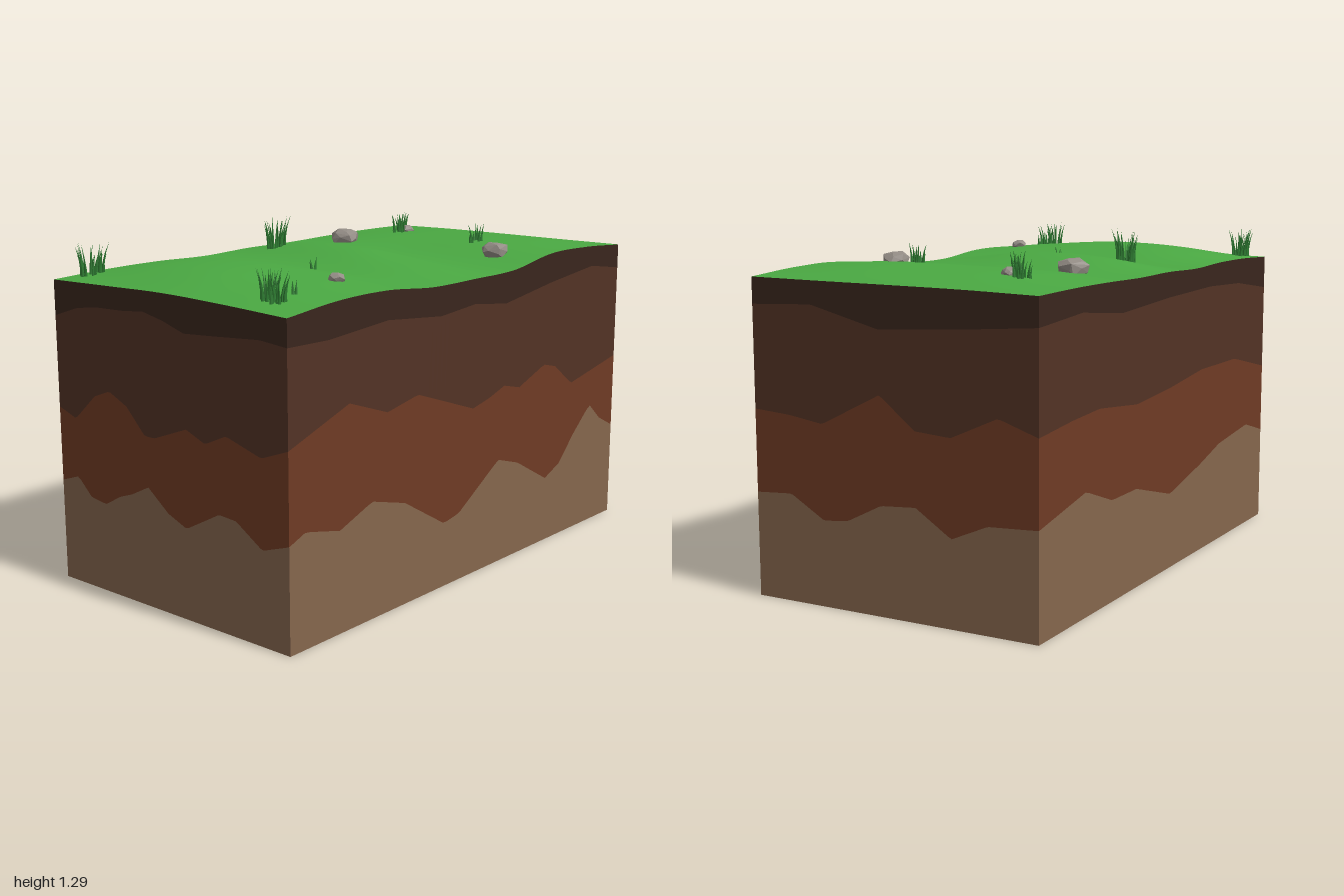
import * as THREE from 'three';
import { ConvexGeometry } from 'three/addons/geometries/ConvexGeometry.js';
import { mergeGeometries } from 'three/addons/utils/BufferGeometryUtils.js';

const W = 0.57, D = 1;
const mat = (color, extra = {}) => new THREE.MeshStandardMaterial({ color, ...extra });

// small seeded random
let seed = 7;
const rnd = () => (seed = (seed * 16807) % 2147483647) / 2147483647;
const spread = (a) => (rnd() * 2 - 1) * a;

// ground heights: rows run back to front, columns -x to +x
const HEIGHTS = [
  [1.130, 1.137, 1.140, 1.142, 1.145],
  [1.135, 1.158, 1.170, 1.176, 1.162],
  [1.135, 1.162, 1.172, 1.175, 1.164],
  [1.132, 1.148, 1.142, 1.135, 1.130],
  [1.135, 1.180, 1.190, 1.162, 1.128],
  [1.130, 1.138, 1.142, 1.145, 1.130],
  [1.138, 1.178, 1.188, 1.176, 1.152],
  [1.138, 1.178, 1.190, 1.174, 1.152],
  [1.130, 1.138, 1.145, 1.140, 1.130],
];

// Catmull-Rom through evenly spaced values, t from 0 to 1
function spline(v, t) {
  const n = v.length - 1, f = Math.min(Math.max(t, 0), 1) * n;
  const i = Math.min(Math.floor(f), n - 1), u = f - i;
  const p1 = v[i], p2 = v[i + 1];
  const p0 = i > 0 ? v[i - 1] : 2 * p1 - p2, p3 = i + 2 <= n ? v[i + 2] : 2 * p2 - p1;
  return p1 + 0.5 * u * (p2 - p0 + u * (2 * p0 - 5 * p1 + 4 * p2 - p3 + u * (3 * (p1 - p2) + p3 - p0)));
}
const ground = (x, z) => spline(HEIGHTS.map((r) => spline(r, (x + W) / (2 * W))), (z + D) / (2 * D));

// layer boundaries as [position along wall, height], position is x or z
const WALLS = {
  front: [
    [[-.57, 1], [-.45, 1.04], [-.35, 1.055], [-.2, 1.06], [-.1, 1.07], [0, 1.05], [.1, 1.02], [.25, 1.03], [.45, 1.045], [.57, 1.035]],
    [[-.57, .66], [-.48, .63], [-.37, .73], [-.29, .76], [-.2, .72], [-.11, .63], [-.06, .63], [.1, .69], [.19, .655], [.29, .7], [.45, .655], [.57, .7]],
    [[-.57, .38], [-.48, .41], [-.41, .345], [-.33, .335], [-.25, .38], [-.19, .4], [-.1, .445], [0, .37], [.09, .335], [.25, .42], [.33, .415], [.45, .34], [.57, .38]],
  ],
  right: [
    [[-1, 1.05], [-.8, 1.08], [-.5, 1.05], [-.2, 1.01], [0, 1.035], [.2, 1.02], [.5, 1.05], [.8, 1.03], [1, 1.035]],
    [[-1, .68], [-.67, .62], [-.55, .71], [-.47, .73], [-.3, .67], [-.2, .695], [-.1, .665], [0, .645], [.33, .76], [.5, .73], [.7, .8], [1, .7]],
    [[-1, .38], [-.9, .43], [-.82, .5], [-.7, .4], [-.6, .3], [-.5, .26], [-.3, .37], [-.17, .41], [.08, .26], [.17, .245], [.4, .38], [.58, .43], [.75, .37], [.92, .41], [1, .38]],
  ],
  back: [
    [[-.57, 1.03], [-.3, 1.01], [.04, .99], [.2, 1.03], [.32, 1.06], [.57, 1.05]],
    [[-.57, .68], [-.42, .73], [-.24, .65], [-.1, .66], [.04, .77], [.18, .7], [.28, .65], [.42, .67], [.57, .68]],
    [[-.57, .38], [-.38, .37], [-.24, .31], [-.1, .4], [.04, .39], [.18, .32], [.28, .31], [.42, .39], [.57, .38]],
  ],
  left: [
    [[-1, 1.03], [-.7, 1.05], [-.4, 1.02], [0, 1.04], [.4, 1.05], [.7, 1.04], [1, 1]],
    [[-1, .68], [-.77, .7], [-.57, .71], [-.27, .68], [.03, .7], [.32, .73], [.67, .73], [1, .66]],
    [[-1, .38], [-.67, .44], [-.47, .37], [-.27, .37], [.03, .29], [.32, .35], [.52, .4], [.82, .43], [1, .38]],
  ],
};
const lerpLine = (line, s) => {
  let i = 0;
  while (i < line.length - 2 && s > line[i + 1][0]) i++;
  const [[a, p], [b, q]] = [line[i], line[i + 1]];
  return p + (q - p) * (s - a) / (b - a);
};
const PLACE = {
  front: (s) => [s, D], back: (s) => [s, -D], right: (s) => [W, s], left: (s) => [-W, s],
};

// one coloured band of a wall, between an upper and a lower height function
function band(place, half, up, low, flip) {
  const n = 80, pos = [], idx = [];
  for (let i = 0; i <= n; i++) {
    const s = half * (2 * i / n - 1), [x, z] = place(s);
    pos.push(x, low(s), z, x, up(s), z);
    if (i < n) {
      const a = 2 * i;
      idx.push(...(flip ? [a, a + 1, a + 2, a + 2, a + 1, a + 3] : [a, a + 2, a + 1, a + 2, a + 3, a + 1]));
    }
  }
  const g = new THREE.BufferGeometry();
  g.setAttribute('position', new THREE.Float32BufferAttribute(pos, 3));
  g.setIndex(idx);
  g.computeVertexNormals();
  return g;
}

// tuft of thin tapered blades leaning outwards
function tuft(x, z, r, h, count) {
  const blades = [];
  for (let i = 0; i < count; i++) {
    const a = rnd() * Math.PI * 2, d = r * Math.sqrt(rnd());
    const len = h * (0.55 + 0.45 * rnd());
    const g = new THREE.ConeGeometry(0.0065, len, 4, 3);
    const p = g.attributes.position, lean = 0.12 + rnd() * 0.12;
    g.translate(0, len / 2, 0);
    for (let k = 0; k < p.count; k++) {
      const t = p.getY(k) / len;
      p.setX(k, p.getX(k) + lean * len * t * t);
    }
    g.rotateY(-a + spread(0.6));
    const bx = x + d * Math.cos(a), bz = z + d * Math.sin(a);
    g.translate(bx, ground(bx, bz) - 0.005, bz);
    g.computeVertexNormals();
    blades.push(g);
  }
  return mergeGeometries(blades);
}

// faceted boulder, partly sunk in the ground
function rock(x, z, r, top) {
  const pts = [], n = 26;
  for (let i = 0; i < n; i++) {
    const y = 1 - 2 * (i + 0.5) / n, a = i * 2.4 + spread(0.3), q = Math.sqrt(1 - y * y);
    const k = r * (0.92 + spread(0.12));
    pts.push(new THREE.Vector3(q * Math.cos(a) * k, y * k * 0.65, q * Math.sin(a) * k * 0.92));
  }
  const g = new ConvexGeometry(pts);
  g.computeBoundingBox();
  g.translate(x, ground(x, z) + top - g.boundingBox.max.y, z);
  return g;
}

export function createModel() {
  const model = new THREE.Group();
  const add = (name, geo, material) => {
    const m = new THREE.Mesh(geo, material);
    m.name = name;
    model.add(m);
  };

  // rolling grass surface
  const top = new THREE.PlaneGeometry(2 * W, 2 * D, 48, 80).rotateX(-Math.PI / 2);
  const p = top.attributes.position;
  for (let i = 0; i < p.count; i++) p.setY(i, ground(p.getX(i), p.getZ(i)));
  top.computeVertexNormals();
  add('grassSurface', top, mat(0x4aa842));

  // four soil layers, each wrapped round the four walls
  const layers = [['topsoil', 0x3a261d], ['subsoil', 0x523325], ['clay', 0x6f3b24], ['bedrock', 0x85664d]];
  layers.forEach(([name, color], k) => {
    const parts = Object.entries(WALLS).map(([side, lines]) => {
      const place = PLACE[side], half = side === 'front' || side === 'back' ? W : D;
      const up = k === 0 ? (s) => ground(...place(s)) : (s) => lerpLine(lines[k - 1], s);
      const low = k === 3 ? () => 0 : (s) => lerpLine(lines[k], s);
      return band(place, half, up, low, side === 'right' || side === 'back');
    });
    add(name, mergeGeometries(parts), mat(color));
  });
  add('underside', new THREE.PlaneGeometry(2 * W, 2 * D).rotateX(Math.PI / 2), mat(0x85664d));

  // grass tufts: x, z, radius, height, blades
  [
    [-.5, .9, .03, .13, 16], [-.51, .85, .025, .12, 12], [-.36, .06, .033, .125, 20],
    [-.34, -.7, .03, .09, 14], [-.27, -.61, .025, .09, 11], [.195, -.525, .022, .08, 9],
    [.2, -.485, .008, .06, 3], [.38, .88, .03, .12, 15], [.43, .89, .025, .11, 11],
    [.42, .8, .01, .06, 4], [.06, .31, .01, .055, 4],
  ].forEach((t) => add('grassTuft', tuft(...t), mat(0x2e7d32)));

  // rocks: x, z, radius, height above ground
  [
    [-.34, -.34, .067, .052], [.385, -.385, .058, .05], [.375, .54, .036, .027], [-.275, -.67, .034, .027],
  ].forEach((r) => add('rock', rock(...r), mat(0x938c85, { flatShading: true })));

  return model;
}
